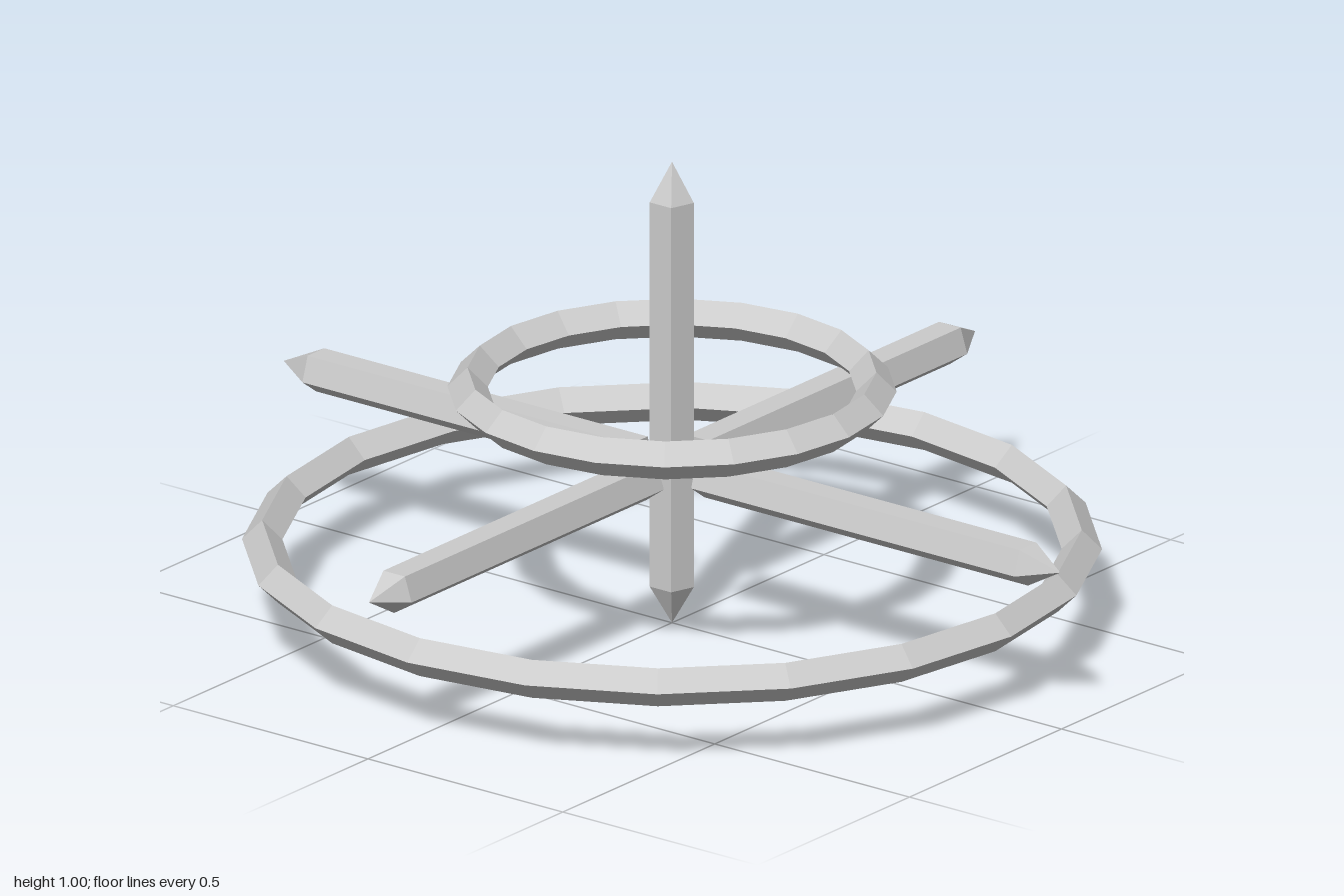
import * as THREE from 'three';

const SIDES = 5, BAR_R = 0.047, BAR_LEN = 0.83, TIP_LEN = 0.083;
const material = new THREE.MeshStandardMaterial({ color: 0xcccccc, flatShading: true });

function addMesh(parent, name, geometry, y = 0) {
  const mesh = new THREE.Mesh(geometry, material);
  mesh.name = name;
  mesh.position.y = y;
  parent.add(mesh);
  return mesh;
}

// Five-sided bar along +y from its origin, with a pointed far end
function makeBar(name) {
  const bar = new THREE.Group();
  bar.name = name;
  addMesh(bar, 'shaft', new THREE.CylinderGeometry(BAR_R, BAR_R, BAR_LEN, SIDES), BAR_LEN / 2);
  addMesh(bar, 'tip', new THREE.ConeGeometry(BAR_R, TIP_LEN, SIDES), BAR_LEN + TIP_LEN / 2);
  return bar;
}

export function createModel() {
  const model = new THREE.Group();
  model.name = 'ringedCross';

  // Upright bar, pointed at both ends
  const upright = makeBar('uprightBar');
  const lowerTip = addMesh(upright, 'lowerTip', new THREE.ConeGeometry(BAR_R, TIP_LEN, SIDES), -TIP_LEN / 2);
  lowerTip.scale.y = -1;
  upright.position.y = TIP_LEN;
  upright.rotation.y = Math.PI / 2;
  model.add(upright);

  // Four level arms around a gap at the middle
  ['frontArm', 'leftArm', 'backArm', 'rightArm'].forEach((name, i) => {
    const pivot = new THREE.Group();
    pivot.name = name;
    const bar = makeBar('bar');
    bar.rotation.x = Math.PI / 2;
    bar.position.z = 0.084;
    pivot.add(bar);
    pivot.position.y = 0.337;
    pivot.rotation.y = i * Math.PI / 2;
    model.add(pivot);
  });

  // Two faceted rings with a diamond cross-section
  for (const [name, radius, y] of [['largeRing', 0.83, 0.17], ['smallRing', 0.414, 0.505]]) {
    addMesh(model, name, new THREE.TorusGeometry(radius, 0.041, 4, 20).rotateX(Math.PI / 2), y);
  }
  return model;
}
